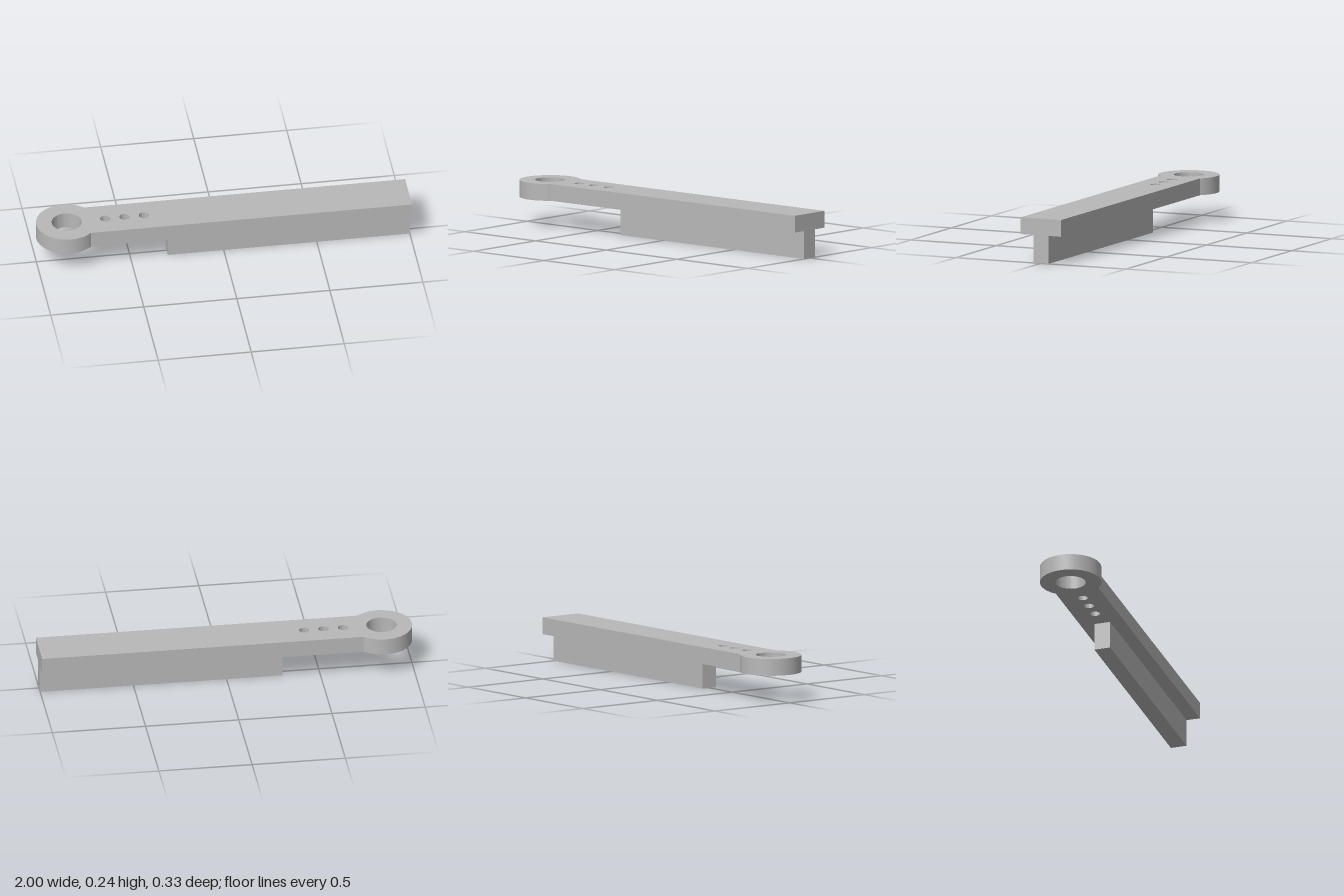
import * as THREE from 'three';
import { toCreasedNormals } from 'three/addons/utils/BufferGeometryUtils.js';

export function createModel() {
  const model = new THREE.Group();
  model.name = 'slideArm';
  const grey = new THREE.MeshStandardMaterial({ color: 0xb8b8b8 });
  grey.name = 'plain grey';

  const bottom = 0.15, top = 0.24;       // height range of the flat arm
  const eyeX = -0.837, eyeR = 0.163;     // round eye at the left end
  const half = 0.119;                    // half width of the arm

  // Arm outline: straight bar running into the round eye
  const a = Math.asin(half / eyeR);
  const outline = new THREE.Shape();
  outline.moveTo(1, -half);
  outline.lineTo(1, half);
  outline.lineTo(eyeX + eyeR * Math.cos(a), half);
  outline.absarc(eyeX, 0, eyeR, a, 2 * Math.PI - a, false);
  outline.closePath();

  // Large eye hole and three small pin holes
  for (const [x, r] of [[eyeX, 0.08], [-0.63, 0.027], [-0.526, 0.027], [-0.422, 0.027]]) {
    const hole = new THREE.Path();
    hole.absarc(x, 0, r, 0, 2 * Math.PI, true);
    outline.holes.push(hole);
  }

  const armGeometry = new THREE.ExtrudeGeometry(outline, {
    depth: top - bottom, bevelEnabled: false, curveSegments: 32,
  });
  armGeometry.rotateX(-Math.PI / 2);
  armGeometry.translate(0, bottom, 0);
  const arm = new THREE.Mesh(toCreasedNormals(armGeometry, 0.5), grey);
  arm.name = 'arm';
  model.add(arm);

  // Narrow rib under the arm
  const rib = new THREE.Mesh(new THREE.BoxGeometry(1.3, bottom, 0.088), grey);
  rib.position.set(0.35, bottom / 2, 0);
  rib.name = 'rib';
  model.add(rib);

  return model;
}
